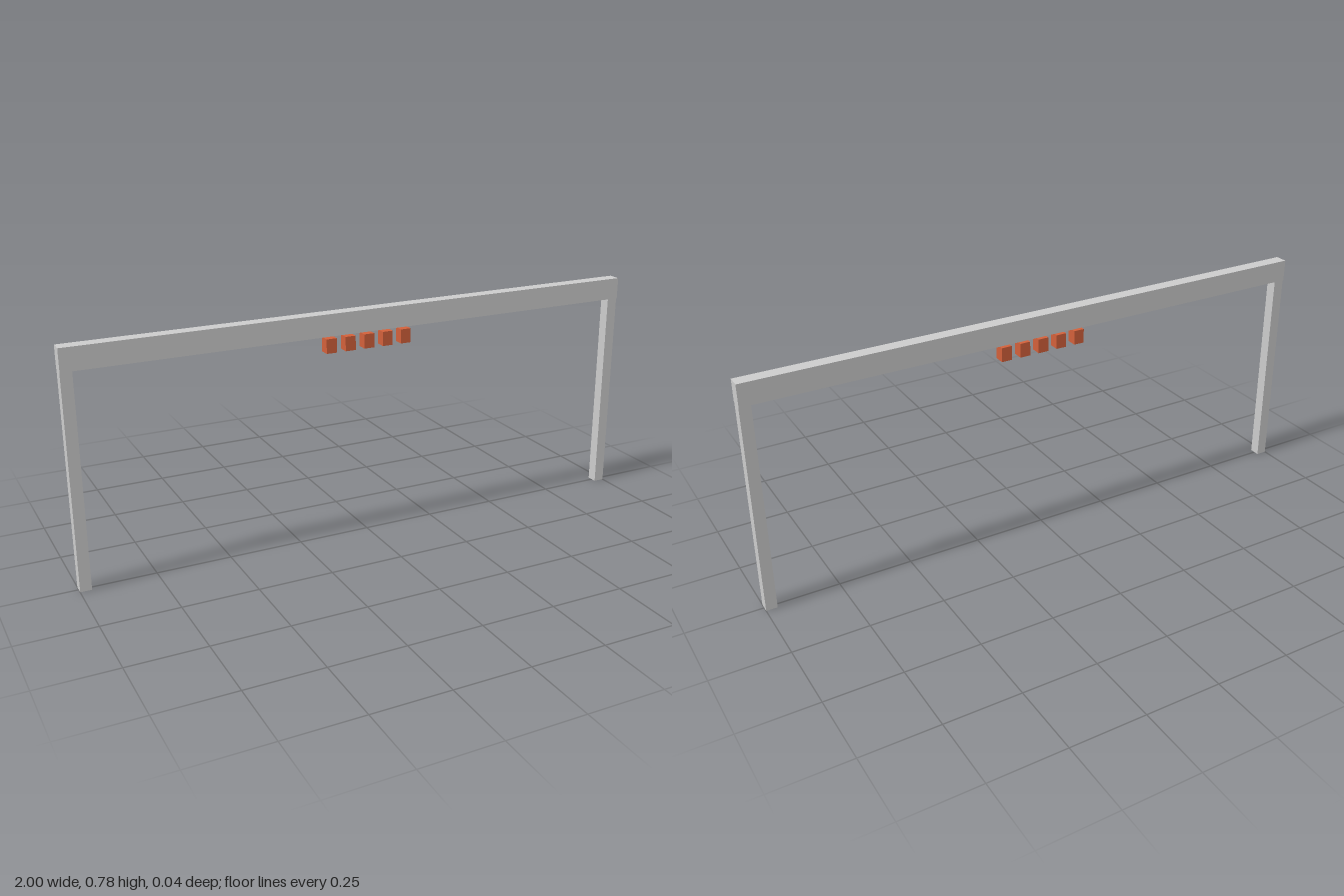
import * as THREE from 'three';

export function createModel() {
  const model = new THREE.Group();
  const steel = new THREE.MeshStandardMaterial({ color: 0xcccccc, flatShading: true });
  const orange = new THREE.MeshStandardMaterial({ color: 0xd2603a, flatShading: true });

  // Box placed by its bottom height
  function addBox(name, material, [w, h, d], x, bottom) {
    const mesh = new THREE.Mesh(new THREE.BoxGeometry(w, h, d), material);
    mesh.name = name;
    mesh.position.set(x, bottom + h / 2, 0);
    model.add(mesh);
  }

  // Crossbeam spanning the two posts
  const beamBottom = 0.709;
  addBox('crossbeam', steel, [2, 0.074, 0.044], 0, beamBottom);

  // Posts, flush with the beam ends
  const post = 0.037;
  addBox('leftPost', steel, [post, beamBottom, post], 1 - post / 2, 0);
  addBox('rightPost', steel, [post, beamBottom, post], -1 + post / 2, 0);

  // Row of five small blocks just under the beam
  for (let i = -2; i <= 2; i++) {
    addBox('hangingBlock' + (i + 3), orange, [0.036, 0.048, 0.036], i * 0.0675, 0.652);
  }
  return model;
}
